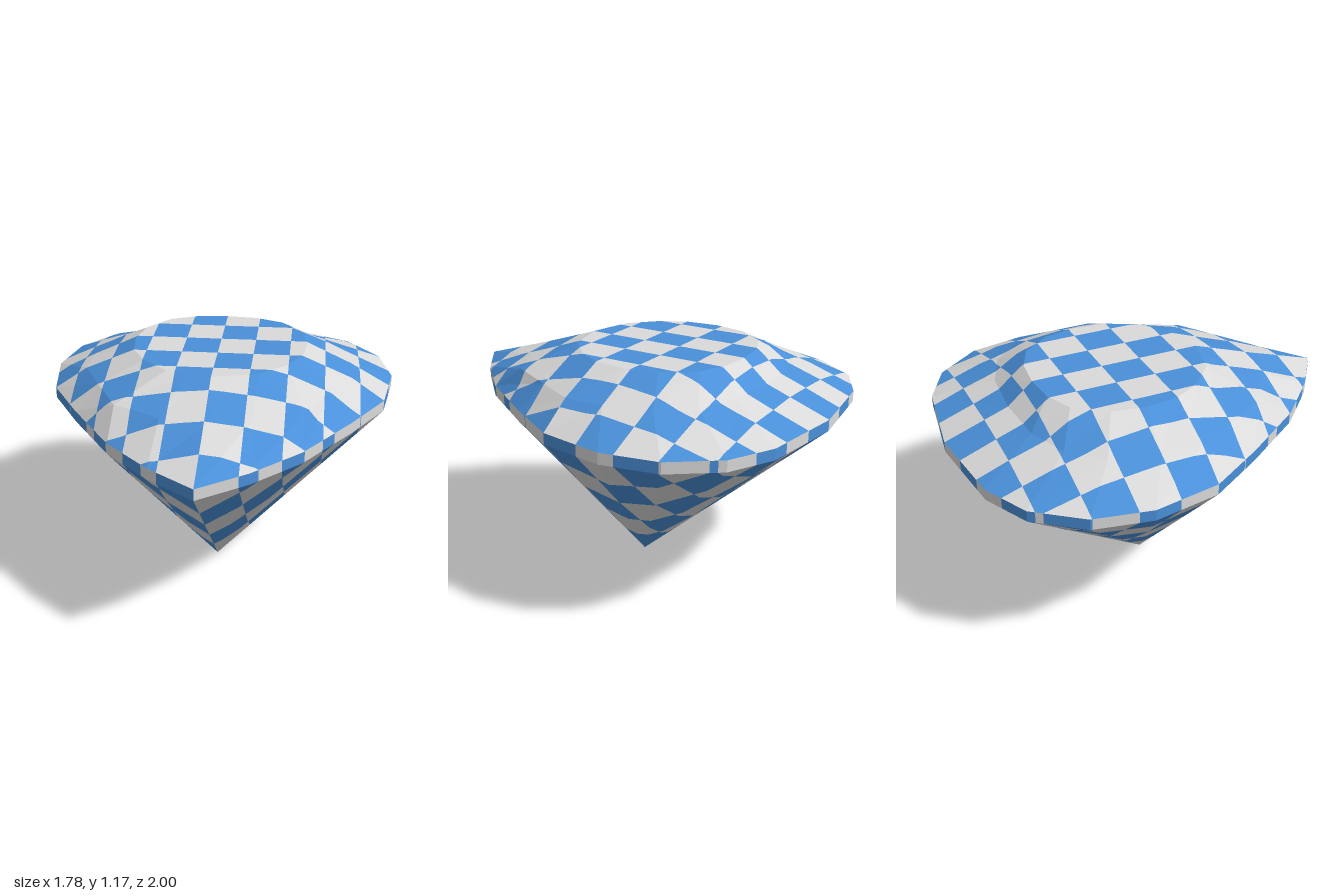
import * as THREE from 'three';

const blue = new THREE.MeshStandardMaterial({ color: 0x4a90d9 });
blue.name = 'checkerBlue';
const grey = new THREE.MeshStandardMaterial({ color: 0xdadada });
grey.name = 'checkerLightGrey';

// Checker cell size, seen from above
const CELL_X = 0.889 / 5, CELL_Z = 0.2;

// Half outlines as [x, z], from the front point round the left side to the back
const girdleHalf = [[0, 1], [0.222, 0.836], [0.444, 0.613], [0.667, 0.28], [0.833, 0],
  [0.889, -0.33], [0.833, -0.61], [0.667, -0.83], [0.444, -0.943], [0, -1]];
const middleHalf = [[0, 0.63], [0.21, 0.56], [0.44, 0.44], [0.56, 0.21], [0.667, 0],
  [0.665, -0.2], [0.61, -0.43], [0.47, -0.58], [0.27, -0.66], [0, -0.68]];
const tableHalf = [[0, 0.31], [0.11, 0.285], [0.22, 0.255], [0.35, 0.13], [0.42, 0],
  [0.44, -0.17], [0.41, -0.33], [0.3, -0.48], [0.16, -0.54], [0, -0.555]];

// Mirror a half outline into a closed ring at height y
function ring(half, y) {
  const left = half.map(([x, z]) => new THREE.Vector3(x, y, z));
  const right = half.slice(1, -1).reverse().map(([x, z]) => new THREE.Vector3(-x, y, z));
  return [...left, ...right];
}

// Triangles joining a lower ring to an upper ring
function band(lower, upper) {
  return lower.flatMap((a, i) => {
    const j = (i + 1) % lower.length;
    return [[a, lower[j], upper[j]], [a, upper[j], upper[i]]];
  });
}

// Triangles from a ring to one point
function fan(points, tip, flip = false) {
  return points.map((a, i) => {
    const b = points[(i + 1) % points.length];
    return flip ? [b, a, tip] : [a, b, tip];
  });
}

// Keep the part of a polygon on one side of the plane axis = value
function clip(poly, axis, value, sign) {
  const out = [];
  poly.forEach((p, i) => {
    const q = poly[(i + 1) % poly.length];
    const dp = (p[axis] - value) * sign, dq = (q[axis] - value) * sign;
    if (dp >= 0) out.push(p);
    if ((dp > 1e-9 && dq < -1e-9) || (dp < -1e-9 && dq > 1e-9)) {
      out.push(p.clone().lerp(q, dp / (dp - dq)));
    }
  });
  return out;
}

// Cut polygons into strips along one axis
function slice(polys, axis, size) {
  return polys.flatMap((poly) => {
    const values = poly.map((p) => p[axis] / size);
    const first = Math.floor(Math.min(...values) + 1e-6);
    const last = Math.max(first + 1, Math.ceil(Math.max(...values) - 1e-6));
    const pieces = [];
    for (let k = first; k < last; k++) {
      let part = poly;
      if (k > first) part = clip(part, axis, k * size, 1);
      if (k < last - 1) part = clip(part, axis, (k + 1) * size, -1);
      if (part.length >= 3) pieces.push(part);
    }
    return pieces;
  });
}

// Build a faceted mesh whose cells alternate between the two colours
function checkerMesh(name, triangles, blueParity) {
  const sets = [[], []];
  for (const poly of slice(slice(triangles, 'x', CELL_X), 'z', CELL_Z)) {
    const c = poly.reduce((s, p) => s.add(p), new THREE.Vector3()).divideScalar(poly.length);
    const parity = Math.abs(Math.floor(c.x / CELL_X) + Math.floor(c.z / CELL_Z)) % 2;
    const set = sets[parity === blueParity ? 0 : 1];
    for (let i = 1; i < poly.length - 1; i++) {
      for (const p of [poly[0], poly[i], poly[i + 1]]) set.push(p.x, p.y, p.z);
    }
  }
  const geometry = new THREE.BufferGeometry();
  geometry.setAttribute('position', new THREE.Float32BufferAttribute(sets.flat(), 3));
  geometry.addGroup(0, sets[0].length / 3, 0);
  geometry.addGroup(sets[0].length / 3, sets[1].length / 3, 1);
  geometry.computeVertexNormals();
  const mesh = new THREE.Mesh(geometry, [blue, grey]);
  mesh.name = name;
  return mesh;
}

export function createModel() {
  const gem = new THREE.Group();
  gem.name = 'pearCutGem';

  const girdleBottom = ring(girdleHalf, 0.89);
  const girdleTop = ring(girdleHalf, 0.945);
  const middle = ring(middleHalf, 1.06);
  const table = ring(tableHalf, 1.167);

  // Flat top
  gem.add(checkerMesh('table', fan(table, new THREE.Vector3(0, 1.167, -0.1)), 0));
  // Sloping facets between the table and the rim
  gem.add(checkerMesh('crown', [...band(girdleTop, middle), ...band(middle, table)], 0));
  // Thin upright rim
  gem.add(checkerMesh('girdle', band(girdleBottom, girdleTop), 1));
  // Pointed underside
  gem.add(checkerMesh('pavilion', fan(girdleBottom, new THREE.Vector3(0, 0, 0), true), 1));

  return gem;
}
